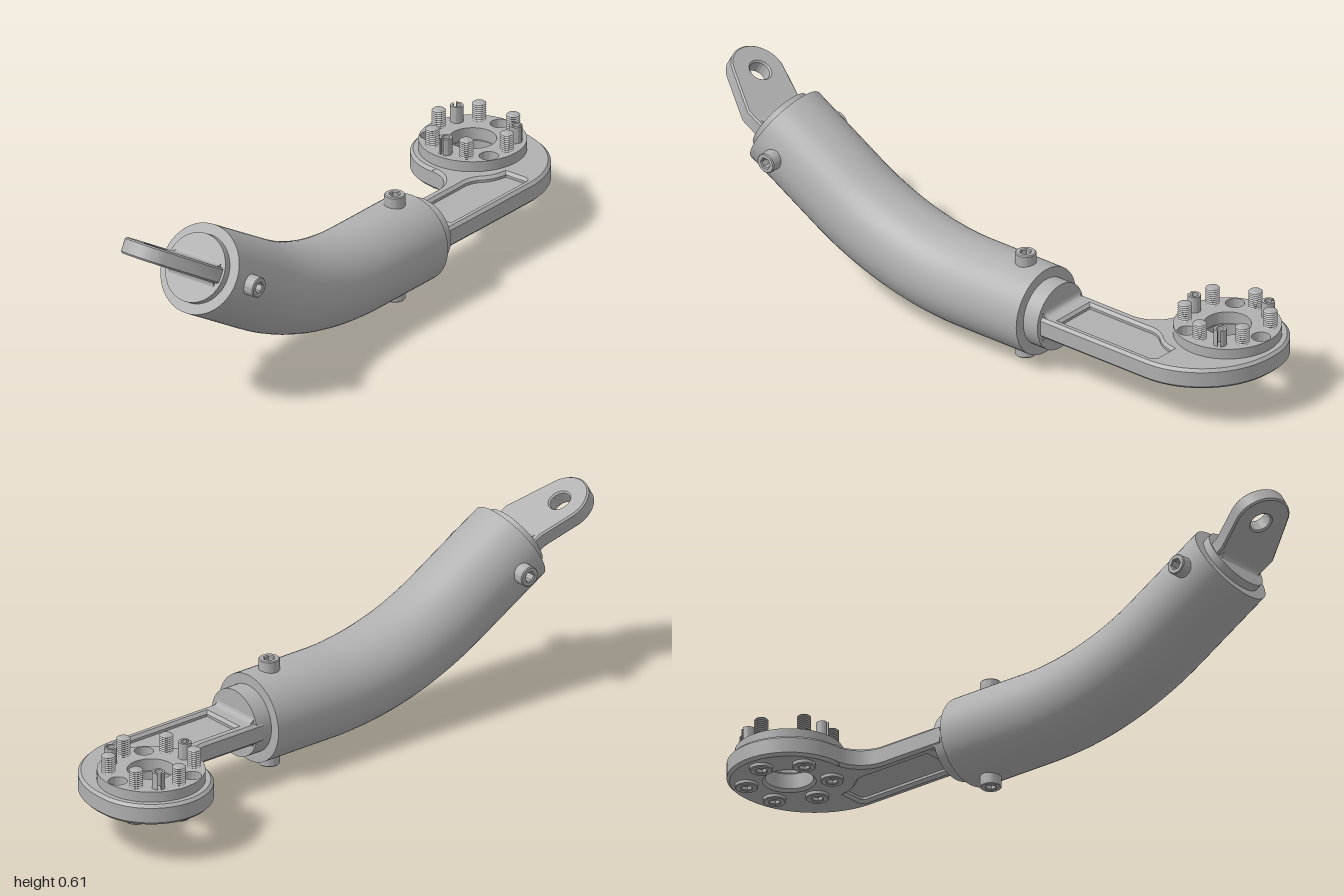
import * as THREE from 'three';
import { toCreasedNormals } from 'three/addons/utils/BufferGeometryUtils.js';

const metal = new THREE.MeshStandardMaterial({ color: 0xb0b0b0 });
metal.name = 'grey metal';

const AXIS_Y = 0.175, AXIS_Z = 0.107, TUBE_R = 0.14, COLLAR_R = 0.107;
const HUB_X = 0.8125, HUB_Z = -0.09, BOLT_R = 0.13;

function add(parent, name, geometry, x = 0, y = 0, z = 0) {
  const mesh = new THREE.Mesh(geometry, metal);
  mesh.name = name;
  mesh.position.set(x, y, z);
  parent.add(mesh);
  return mesh;
}

function circlePath(x, y, r) {
  return new THREE.Path().absarc(x, y, r, 0, Math.PI * 2, true);
}

// Extrudes a shape drawn in x and z between two heights
function slab(shape, y0, y1, bevel = 0) {
  const g = new THREE.ExtrudeGeometry(shape, {
    depth: y1 - y0 - 2 * bevel, curveSegments: 32, bevelEnabled: bevel > 0,
    bevelThickness: bevel, bevelSize: bevel, bevelOffset: -bevel, bevelSegments: 1,
  });
  g.rotateX(Math.PI / 2).translate(0, y1 - bevel, 0);
  return toCreasedNormals(g, 0.5);
}

// Round screw head with a hexagonal socket, pointing along +z
function socketHead(r, height) {
  const shape = new THREE.Shape().absarc(0, 0, r, 0, Math.PI * 2);
  const hex = [];
  for (let i = 0; i < 6; i++) {
    const a = -i * Math.PI / 3;
    hex.push(new THREE.Vector2(Math.cos(a) * r * 0.5, Math.sin(a) * r * 0.5));
  }
  shape.holes.push(new THREE.Path(hex));
  const b = 0.003;
  const g = new THREE.ExtrudeGeometry(shape, {
    depth: height - 2 * b, curveSegments: 16, bevelThickness: b,
    bevelSize: b, bevelOffset: -b, bevelSegments: 1,
  });
  return toCreasedNormals(g.translate(0, 0, b), 0.5);
}

// Sleeve centreline: straight, 30 degree arc, straight
class SleevePath extends THREE.Curve {
  getPoint(t, target = new THREE.Vector3()) {
    const a = Math.PI / 6, first = 0.267, R = 1, arc = R * a, last = 0.29;
    const s = t * (first + arc + last);
    const turn = THREE.MathUtils.clamp((s - first) / R, 0, a);
    const rest = Math.max(0, s - first - arc);
    return target.set(
      0.27 - Math.min(s, first) - R * Math.sin(turn) - rest * Math.cos(a),
      AXIS_Y + R * (1 - Math.cos(turn)) + rest * Math.sin(a), AXIS_Z);
  }
}

// Concave fillets where a flat plate leaves a collar face, along local +x
function addFillets(parent, x, half, r, width, y, z) {
  for (const side of [1, -1]) {
    const s = new THREE.Shape();
    s.moveTo(0, side * half);
    s.lineTo(r, side * half);
    s.quadraticCurveTo(0, side * half, 0, side * (half + r));
    const g = new THREE.ExtrudeGeometry(s, { depth: width, bevelEnabled: false, curveSegments: 6 });
    add(parent, 'collarFillet', toCreasedNormals(g, 0.5), x, y, z - width / 2);
  }
}

function buildSleeve(root) {
  const sleeve = new THREE.Group();
  sleeve.name = 'sleeve';
  root.add(sleeve);
  const path = new SleevePath();
  add(sleeve, 'sleeveBody', new THREE.TubeGeometry(path, 64, TUBE_R, 48));
  const start = path.getPoint(0), end = path.getPoint(1);
  add(sleeve, 'sleeveLowerFace', new THREE.CircleGeometry(TUBE_R, 48).rotateY(Math.PI / 2),
    start.x, start.y, start.z);
  add(sleeve, 'sleeveUpperFace',
    new THREE.CircleGeometry(TUBE_R, 48).rotateY(Math.PI / 2).rotateZ(Math.PI * 5 / 6),
    end.x, end.y, end.z);

  // Clamping screws near both ends
  const screws = [[0.19, AXIS_Y, 0, 1, 0], [0.19, AXIS_Y, 0, -1, 0],
    [-0.68, 0.417, 0, 0, 1], [-0.68, 0.417, 0, 0, -1]];
  for (const [x, y, dx, dy, dz] of screws) {
    const dir = new THREE.Vector3(dx, dy, dz);
    const m = add(sleeve, 'clampScrew', socketHead(0.032, 0.048));
    m.position.set(x, y, AXIS_Z).addScaledVector(dir, 0.126);
    m.quaternion.setFromUnitVectors(new THREE.Vector3(0, 0, 1), dir);
  }
  return end;
}

function buildArm(root) {
  const arm = new THREE.Group();
  arm.name = 'lowerArm';
  root.add(arm);
  add(arm, 'lowerCollar', new THREE.CylinderGeometry(COLLAR_R, COLLAR_R, 0.1, 48).rotateZ(Math.PI / 2),
    0.275, AXIS_Y, AXIS_Z);
  addFillets(arm, 0.324, 0.0325, 0.025, 0.17, 0.1725, 0.102);

  // Offset plate with a round end
  const outline = new THREE.Shape();
  outline.moveTo(0.3, 0);
  outline.lineTo(0.525, 0);
  outline.absarc(0.525, -0.1, 0.1, Math.PI / 2, 0, true);
  outline.absarc(HUB_X, HUB_Z, 0.1875, Math.PI, Math.PI * 2, false);
  outline.absarc(0.73, -0.07, 0.27, 0, Math.PI / 2, false);
  outline.lineTo(0.3, 0.2);
  const pocket = new THREE.Path();
  pocket.moveTo(0.38, 0.035);
  pocket.lineTo(0.6, 0.035);
  pocket.quadraticCurveTo(0.64, 0.03, 0.67, 0.055);
  pocket.quadraticCurveTo(0.7, 0.085, 0.745, 0.09);
  pocket.lineTo(0.745, 0.155);
  pocket.quadraticCurveTo(0.745, 0.17, 0.73, 0.17);
  pocket.lineTo(0.38, 0.17);
  outline.holes.push(pocket, circlePath(HUB_X, HUB_Z, 0.072));
  add(arm, 'armPlate', slab(outline, 0.14, 0.206, 0.009));
  add(arm, 'pocketWeb', slab(new THREE.Shape(pocket.getPoints(8)), 0.157, 0.189));

  // Raised hub ring with three empty holes
  const hub = new THREE.Shape().absarc(HUB_X, HUB_Z, 0.163, 0, Math.PI * 2);
  hub.holes.push(circlePath(HUB_X, HUB_Z, 0.072));
  for (let i = 0; i < 3; i++) {
    const a = i * Math.PI * 2 / 3;
    hub.holes.push(circlePath(HUB_X + BOLT_R * Math.cos(a), HUB_Z + BOLT_R * Math.sin(a), 0.029));
  }
  add(arm, 'hubRing', slab(hub, 0.2, 0.239));

  // Threaded screws with heads underneath
  const profile = [new THREE.Vector2(0.017, 0.23)];
  for (let i = 0; i < 9; i++) {
    const y = 0.238 + i * 0.0066;
    profile.push(new THREE.Vector2(0.016, y), new THREE.Vector2(0.0215, y + 0.0033));
  }
  profile.push(new THREE.Vector2(0.017, 0.298), new THREE.Vector2(0, 0.298));
  const thread = toCreasedNormals(new THREE.LatheGeometry(profile, 20), 0.6);
  const head = socketHead(0.035, 0.018).rotateX(Math.PI / 2);
  for (let i = 0; i < 6; i++) {
    const a = Math.PI / 6 + i * Math.PI / 3;
    const x = HUB_X + BOLT_R * Math.cos(a), z = HUB_Z + BOLT_R * Math.sin(a);
    add(arm, 'screwThread', thread, x, 0, z);
    add(arm, 'screwHead', head, x, 0.145, z);
  }

  // Split dowel pins between the screws
  const split = new THREE.Shape();
  split.absarc(0, 0, 0.02, 0.25, Math.PI * 2 - 0.25, false);
  split.absarc(0, 0, 0.012, Math.PI * 2 - 0.4, 0.4, true);
  const pin = slab(split, 0.2, 0.292);
  for (let i = 0; i < 3; i++) {
    const a = Math.PI / 3 + i * Math.PI * 2 / 3;
    const m = add(arm, 'dowelPin', pin, HUB_X + BOLT_R * Math.cos(a), 0, HUB_Z + BOLT_R * Math.sin(a));
    m.rotation.y = -a;
  }
}

function buildTongue(root, end) {
  const tongue = new THREE.Group();
  tongue.name = 'upperTongue';
  tongue.position.copy(end);
  tongue.rotation.z = Math.PI * 5 / 6;
  root.add(tongue);
  add(tongue, 'upperCollar', new THREE.CylinderGeometry(COLLAR_R, COLLAR_R, 0.06, 48).rotateZ(Math.PI / 2), -0.005);
  addFillets(tongue, 0.024, 0.025, 0.022, 0.17, 0, 0);

  // Eye plate with an offset round tip
  const s = new THREE.Shape();
  s.moveTo(0, -0.1);
  s.lineTo(0.05, -0.103);
  s.absarc(0.185, -0.057, 0.09, -Math.PI * 0.61, Math.PI / 3, false);
  s.lineTo(0.085, 0.098);
  s.lineTo(0, 0.098);
  s.holes.push(circlePath(0.18, -0.057, 0.032));
  add(tongue, 'eyePlate', slab(s, -0.025, 0.025, 0.005));
}

export function createModel() {
  const root = new THREE.Group();
  root.name = 'curvedLinkArm';
  const end = buildSleeve(root);
  buildArm(root);
  buildTongue(root, end);
  return root;
}
